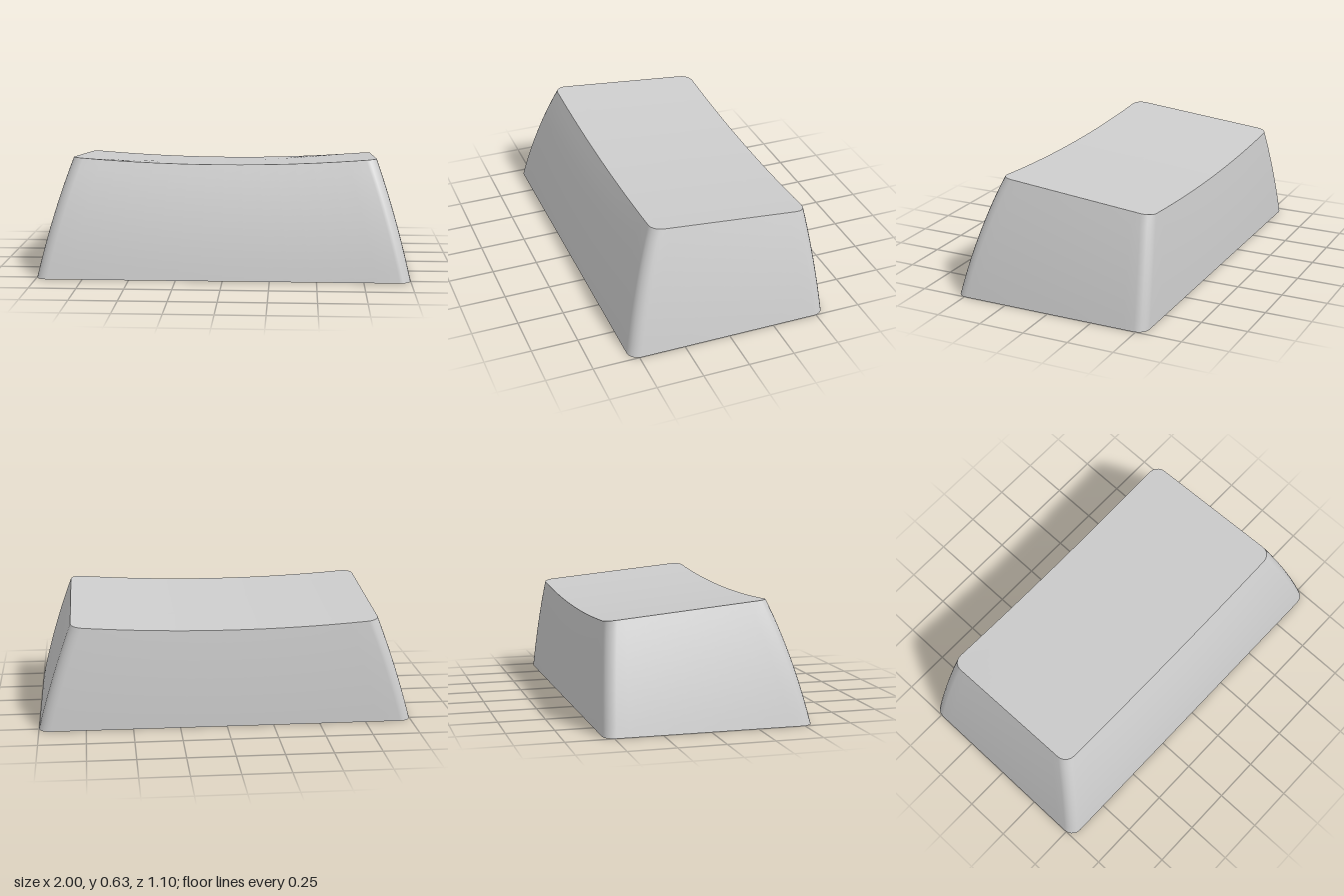
import * as THREE from 'three';

const material = new THREE.MeshStandardMaterial({ color: 0xcccccc });
const WALL = 0.07;
const range = (n, f) => Array.from({ length: n + 1 }, (_, i) => f(i / n));

// Dished, back-sloping top surface and the ceiling under it
const topY = (x, z) => 0.6 + 0.092 * z - 0.035 * Math.max(0, 1 - (x / 0.82) ** 2);
const ceilingY = (x, z) => 0.458 + 0.06 * z;

// Straight taper from a to b with a slight outward bulge
const taper = (a, b, bulge, t) => a + (b - a) * t + bulge * 4 * t * (1 - t);

// Rounded-rectangle outline at relative height t, counter-clockwise from above
function outline(t, inset) {
  const hx = taper(1, 0.82, 0.009, t) - inset;
  const front = taper(0.55, 0.36, 0.015, t) - inset;
  const back = taper(-0.55, -0.5, -0.005, t) + inset;
  const r = 0.06;
  const corners = [
    [hx - r, back + r, 0], [-hx + r, back + r, 1],
    [-hx + r, front - r, 2], [hx - r, front - r, 3],
  ];
  const points = [];
  corners.forEach(([cx, cz, q], k) => {
    const arc = range(5, (u) => {
      const a = (q + u) * Math.PI / 2;
      return [cx + r * Math.cos(a), cz - r * Math.sin(a)];
    });
    points.push(...arc);
    // Divide the straight side up to the next corner
    const [nx, nz, nq] = corners[(k + 1) % 4];
    const a = nq * Math.PI / 2;
    const end = [nx + r * Math.cos(a), nz - r * Math.sin(a)];
    const start = arc[5];
    for (let i = 1; i < 16; i++) {
      points.push([0, 1].map((c) => start[c] + (end[c] - start[c]) * i / 16));
    }
  });
  return points;
}

// Outline raised to a share of a height surface
const lift = (points, height, share) => points.map(([x, z]) => [x, share * height(x, z), z]);

// Concentric copies of an outline laid on a height surface, edge to centre
const fill = (points, height) => range(10, (u) => {
  const s = 1 - u * 0.9999;
  return lift(points.map(([x, z]) => [x * s, -0.07 + (z + 0.07) * s]), height, 1);
});

// Skin over a sequence of closed rings
function skin(name, rings) {
  const n = rings[0].length;
  const index = [];
  for (let i = 0; i < rings.length - 1; i++) {
    for (let j = 0; j < n; j++) {
      const a = i * n + j, b = i * n + (j + 1) % n;
      index.push(a, b, b + n, a, b + n, a + n);
    }
  }
  const geometry = new THREE.BufferGeometry();
  geometry.setAttribute('position', new THREE.Float32BufferAttribute(rings.flat(2), 3));
  geometry.setIndex(index);
  geometry.computeVertexNormals();
  return mesh(name, geometry);
}

function mesh(name, geometry) {
  const m = new THREE.Mesh(geometry, material);
  m.name = name;
  return m;
}

// Round post with a cross-shaped socket
function stem() {
  const shape = new THREE.Shape().absarc(0, 0, 0.172, 0, Math.PI * 2);
  const l = 0.125, w = 0.038;
  const cross = [
    [l, -w], [w, -w], [w, -l], [-w, -l], [-w, -w], [-l, -w],
    [-l, w], [-w, w], [-w, l], [w, l], [w, w], [l, w],
  ];
  shape.holes.push(new THREE.Path(cross.map(([x, y]) => new THREE.Vector2(x, y))));
  const geometry = new THREE.ExtrudeGeometry(shape, {
    depth: 0.34, bevelEnabled: false, curveSegments: 48,
  });
  geometry.rotateX(-Math.PI / 2).translate(0, 0.13, 0);
  return mesh('stem', geometry);
}

// Stiffening rib from the stem to a wall, along x or z
function rib(name, axis, end) {
  const start = 0.155 * Math.sign(end);
  const length = Math.abs(end - start);
  const geometry = axis === 'x'
    ? new THREE.BoxGeometry(length, 0.11, 0.06)
    : new THREE.BoxGeometry(0.06, 0.11, length);
  const m = mesh(name, geometry);
  m.position.y = 0.415;
  m.position[axis] = (start + end) / 2;
  return m;
}

export function createModel() {
  const group = new THREE.Group();
  group.name = 'keycap';

  const inner = (t) => lift(outline(t * 0.78, WALL), ceilingY, t);
  const outer = (t) => lift(outline(t, 0), topY, t);

  // Shell
  group.add(
    skin('outerWalls', range(10, outer)),
    skin('dishedTop', fill(outline(1, 0), topY)),
    skin('bottomRim', [inner(0), outer(0)]),
    skin('innerWalls', range(10, (u) => inner(1 - u))),
    skin('ceiling', fill(outline(0.78, WALL), ceilingY).reverse()),
  );

  // Underside mount
  group.add(
    stem(),
    rib('leftRib', 'x', 0.85),
    rib('rightRib', 'x', -0.85),
    rib('frontRib', 'z', 0.4),
    rib('backRib', 'z', -0.47),
  );
  return group;
}
